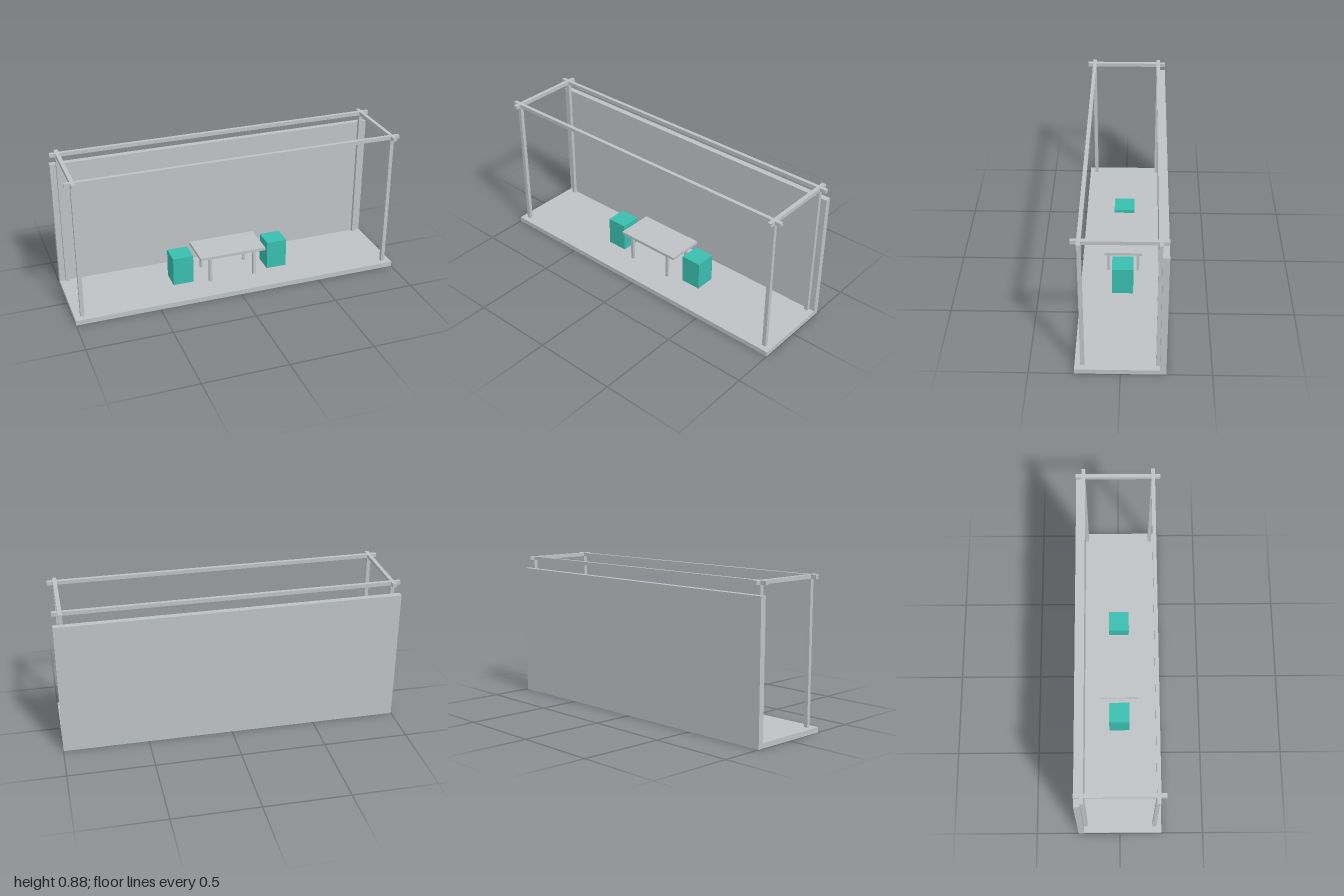
import * as THREE from 'three';

export function createModel() {
  const model = new THREE.Group();
  model.name = 'exhibitionBooth';

  const grey = new THREE.MeshStandardMaterial({ color: 0xbec2c5 });
  grey.name = 'lightGrey';
  const teal = new THREE.MeshStandardMaterial({ color: 0x38bdae });
  teal.name = 'teal';

  // Box given by its extents on each axis
  function box(name, [x0, x1], [y0, y1], [z0, z1], material = grey, parent = model) {
    const mesh = new THREE.Mesh(new THREE.BoxGeometry(x1 - x0, y1 - y0, z1 - z0), material);
    mesh.position.set((x0 + x1) / 2, (y0 + y1) / 2, (z0 + z1) / 2);
    mesh.name = name;
    parent.add(mesh);
  }
  const around = (centre, width) => [centre - width / 2, centre + width / 2];

  // Floor and back wall: one L-shaped section drawn in z (as -x) and y, swept along x
  const section = new THREE.Shape([
    [-0.25, 0], [0.25, 0], [0.25, 0.8], [0.215, 0.8], [0.215, 0.03], [-0.25, 0.03],
  ].map(([x, y]) => new THREE.Vector2(x, y)));
  const shell = new THREE.ExtrudeGeometry(section, { depth: 2, bevelEnabled: false });
  shell.translate(0, 0, -1).rotateY(Math.PI / 2);
  const shellMesh = new THREE.Mesh(shell, grey);
  shellMesh.name = 'floorAndBackWall';
  model.add(shellMesh);

  // Frame: four posts, with crossing beams that overhang at the corners
  const frame = new THREE.Group();
  frame.name = 'frame';
  model.add(frame);
  const beamY = [0.853, 0.875];
  for (const z of [0.207, -0.205]) {
    box('longBeam', [-1, 1], beamY, around(z, 0.022), grey, frame);
    for (const x of [-0.954, 0.954]) {
      box('post', around(x, 0.023), [0.03, 0.853], around(z, 0.022), grey, frame);
    }
  }
  for (const x of [-0.954, 0.954]) {
    box('crossBeam', around(x, 0.023), beamY, [-0.25, 0.25], grey, frame);
  }

  // Table
  const table = new THREE.Group();
  table.name = 'table';
  model.add(table);
  box('tableTop', [-0.208, 0.204], [0.19, 0.208], [-0.111, 0.112], grey, table);
  for (const x of [-0.141, 0.138]) {
    for (const z of [-0.088, 0.09]) {
      box('tableLeg', around(x, 0.017), [0.03, 0.19], around(z, 0.017), grey, table);
    }
  }

  // Cube stools either side of the table
  for (const x of [-0.302, 0.298]) {
    box('stool', around(x, 0.125), [0.03, 0.207], [-0.062, 0.063], teal);
  }

  return model;
}
